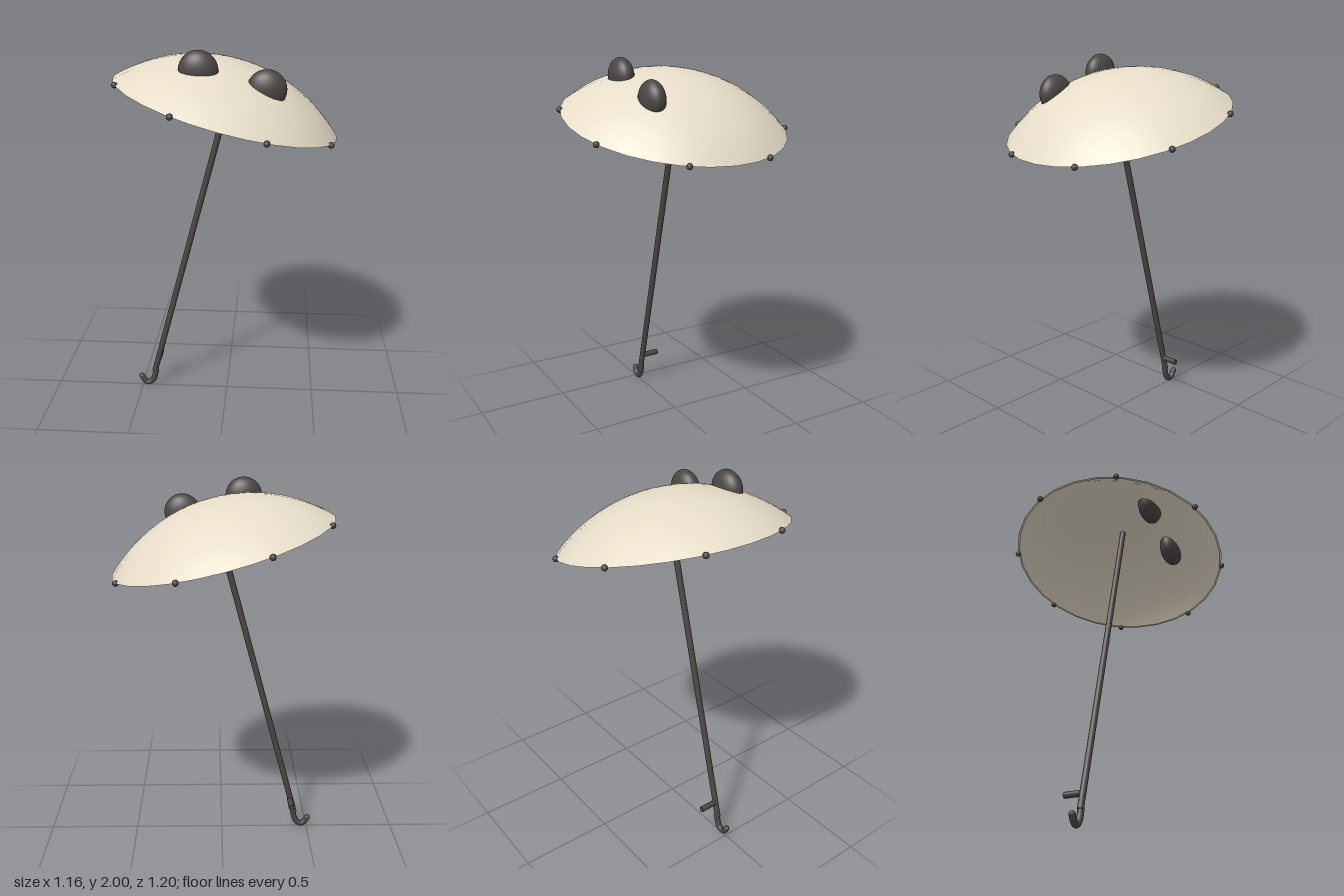
import * as THREE from 'three';

export function createModel() {
  const cream = new THREE.MeshStandardMaterial({ color: 0xe6dcc8, side: THREE.DoubleSide });
  const dark = new THREE.MeshStandardMaterial({ color: 0x4a4644 });
  const model = new THREE.Group();
  model.name = 'parasol';

  // Everything hangs from the centre of the rim, leaning towards +x
  const tilted = new THREE.Group();
  tilted.name = 'tiltedParasol';
  tilted.position.set(-0.003, 1.687, 0);
  tilted.rotation.z = -0.26;
  model.add(tilted);

  const add = (name, geometry, material, x = 0, y = 0, z = 0, parent = tilted) => {
    const mesh = new THREE.Mesh(geometry, material);
    mesh.name = name;
    mesh.position.set(x, y, z);
    parent.add(mesh);
    return mesh;
  };

  // Canopy: a spherical cap with a thin inner shell
  const rimRadius = 0.6, height = 0.243, steps = 14;
  const cap = (r, h) => {
    const R = (r * r + h * h) / (2 * h), end = Math.asin(r / R);
    return Array.from({ length: steps + 1 }, (_, i) => {
      const a = end * (1 - i / steps);
      return new THREE.Vector2(R * Math.sin(a), R * Math.cos(a) - R + h);
    });
  };
  add('canopy', new THREE.LatheGeometry(cap(rimRadius, height), 28), cream);
  add('canopyLining', new THREE.LatheGeometry(cap(0.59, height - 0.012), 28), cream);
  const edge = new THREE.RingGeometry(0.59, rimRadius, 28).rotateX(Math.PI / 2);
  add('canopyEdge', edge, cream);

  // Rib tips around the rim
  for (let i = 0; i < 8; i++) {
    const a = (i + 0.5) * Math.PI / 4;
    add('ribTip', new THREE.SphereGeometry(0.016, 12, 8), dark,
      rimRadius * Math.cos(a), 0, rimRadius * Math.sin(a));
  }

  // Pair of domed eyes pushed through the front of the canopy
  for (const side of [-1, 1]) {
    const eye = add('eye', new THREE.SphereGeometry(1, 28, 20), dark, side * 0.172, 0.184, 0.25);
    eye.scale.set(0.098, 0.097, 0.06);
  }

  // Pole from under the crown to the hook
  const top = 0.235, bottom = -1.645;
  add('pole', new THREE.CylinderGeometry(0.0165, 0.0165, top - bottom, 16), dark, 0, (top + bottom) / 2, 0);

  // Hooked end
  const hookPath = new THREE.CatmullRomCurve3([
    [-0.418, 0.115], [-0.427, 0.065], [-0.444, 0.031], [-0.468, 0.018], [-0.489, 0.031], [-0.505, 0.058],
  ].map(([x, y]) => new THREE.Vector3(x, y, 0)));
  add('hook', new THREE.TubeGeometry(hookPath, 28, 0.0165, 14), dark, 0, 0, 0, model);
  add('hookTip', new THREE.SphereGeometry(0.0165, 14, 10), dark, -0.505, 0.058, 0, model);

  // Small peg sticking out behind the pole
  const peg = new THREE.CylinderGeometry(0.016, 0.016, 0.1, 14).rotateX(Math.PI / 2);
  add('peg', peg, dark, -0.4, 0.181, -0.05, model);

  return model;
}
